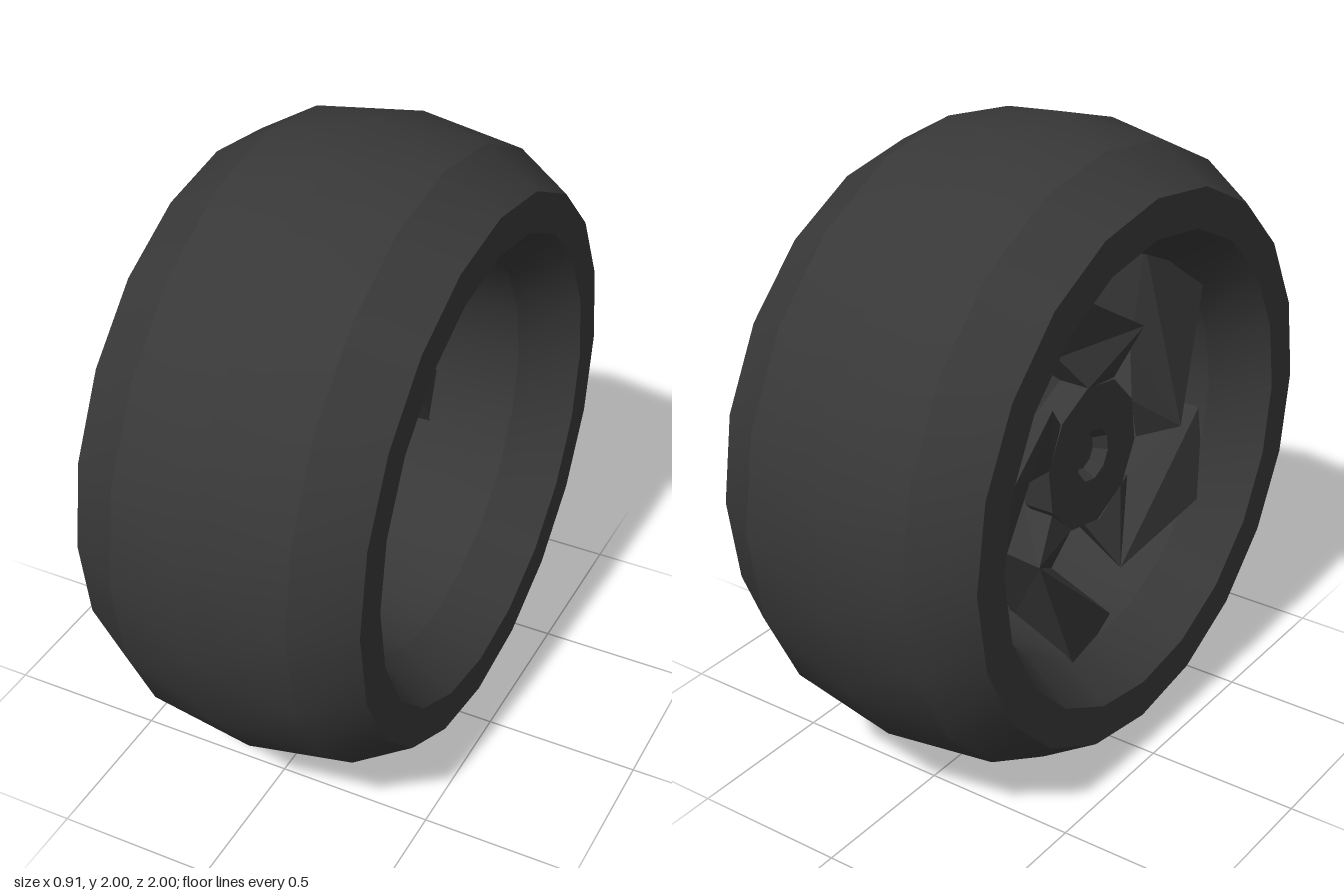
import * as THREE from 'three';
import { mergeGeometries } from 'three/addons/utils/BufferGeometryUtils.js';

// Point on the wheel: x along the axle, angle measured in the wheel plane
const polar = (x, r, a) => [x, r * Math.sin(a), -r * Math.cos(a)];

// Shell through a list of rings [x, radius, phase]; each band is smooth around, creased to its neighbours
function ringShell(rings, n, start = 0) {
  const bands = [];
  for (let k = 0; k + 1 < rings.length; k++) {
    const pos = [], idx = [];
    for (const [x, r, phase = 0] of [rings[k], rings[k + 1]]) {
      for (let i = 0; i < n; i++) pos.push(...polar(x, r, start + (i + phase) * 2 * Math.PI / n));
    }
    const backwards = (rings[k][2] || 0) > (rings[k + 1][2] || 0);
    for (let i = 0; i < n; i++) {
      const j = (i + 1) % n;
      if (backwards) idx.push(i, j, n + j, i, n + j, n + i);
      else idx.push(i, j, n + i, j, n + j, n + i);
    }
    const g = new THREE.BufferGeometry();
    g.setAttribute('position', new THREE.Float32BufferAttribute(pos, 3));
    g.setIndex(idx);
    g.computeVertexNormals();
    bands.push(g);
  }
  return mergeGeometries(bands);
}

// Cranked spoke: wide front face, sloped leading face, tapered back
function spokeGeometry() {
  // [across, up, x]
  const p = {
    A: [-0.18, 0.38, -0.31], F: [0.22, 0.62, -0.31],
    R: [-0.065, 0.365, -0.03], G: [0.33, 0.555, 0.01],
    B: [-0.11, 0.22, -0.15], b: [-0.11, 0.22, -0.25],
    C: [0.03, 0.235, -0.15], c: [0.03, 0.235, -0.25],
    D: [0.12, 0.365, 0.02], d: [0.12, 0.365, -0.18],
    E: [0.49, 0.44, 0.01], e: [0.49, 0.44, -0.25],
  };
  const faces = ['ABR', 'RBCD', 'RDEG', 'ARGF', 'AbB', 'CcdD', 'DdeE', 'Adcb', 'AFed'];
  const pos = [];
  for (const f of faces) {
    for (let i = 1; i + 1 < f.length; i++) {
      for (const key of [f[0], f[i], f[i + 1]]) {
        const [u, v, x] = p[key];
        pos.push(x, v, -u);
      }
    }
  }
  const g = new THREE.BufferGeometry();
  g.setAttribute('position', new THREE.Float32BufferAttribute(pos, 3));
  g.computeVertexNormals();
  return g;
}

export function createModel() {
  const model = new THREE.Group();
  model.name = 'wheel';
  const rubber = new THREE.MeshStandardMaterial({ color: 0x383838 });
  rubber.name = 'dark grey';

  const add = (name, geometry) => {
    const mesh = new THREE.Mesh(geometry, rubber);
    mesh.name = name;
    mesh.position.y = 1;
    model.add(mesh);
    return mesh;
  };

  // Tyre tread and side walls
  add('tyre', ringShell([
    [-0.455, 0.745], [-0.455, 0.87], [-0.28, 0.975], [0, 1.0125, 0.5],
    [0.28, 0.975], [0.455, 0.87], [0.455, 0.745],
  ], 20));

  // Inner barrel of the rim
  add('rimBarrel', ringShell([
    [0.455, 0.745], [0.28, 0.64], [0, 0.608, 0.5], [-0.28, 0.64], [-0.455, 0.745],
  ], 20));

  // Ten-sided hub with a shallow dish on the outer face
  const hub = ringShell([
    [-0.21, 0], [-0.21, 0.06], [-0.25, 0.085], [-0.25, 0.24], [-0.15, 0.24], [-0.15, 0],
  ], 10, THREE.MathUtils.degToRad(10)).toNonIndexed();
  hub.computeVertexNormals();
  add('hub', hub);

  // Five cranked spokes
  const spoke = spokeGeometry();
  for (let i = 0; i < 5; i++) {
    add('spoke' + (i + 1), spoke).rotation.x = i * 2 * Math.PI / 5;
  }
  return model;
}
